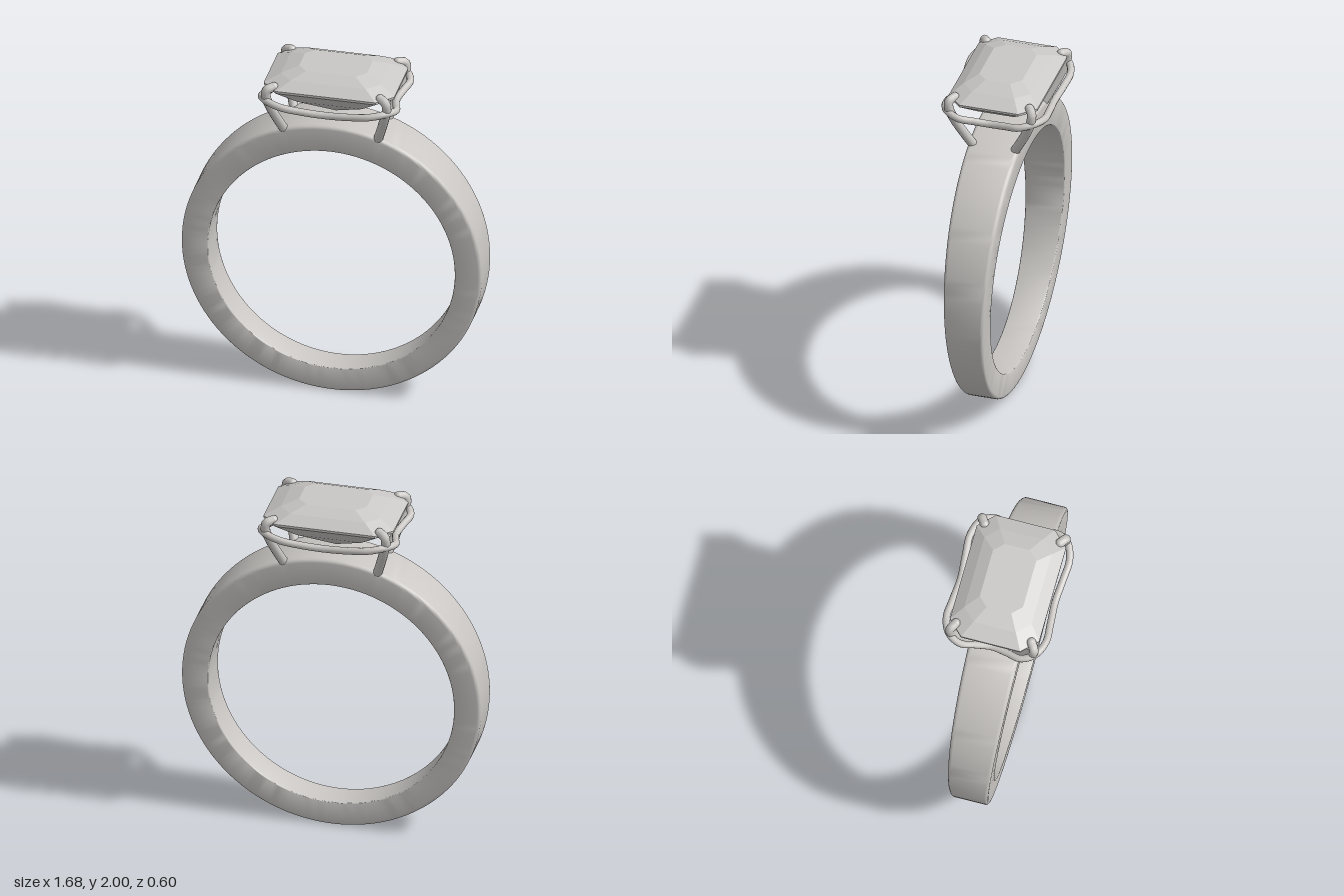
import * as THREE from 'three';
import { toCreasedNormals } from 'three/addons/utils/BufferGeometryUtils.js';

const metal = new THREE.MeshStandardMaterial({ name: 'metal', color: 0xc9c6c3 });
const stone = new THREE.MeshStandardMaterial({ name: 'stone', color: 0xc9c7c5 });

function add(parent, name, geometry, material) {
  const mesh = new THREE.Mesh(geometry, material);
  mesh.name = name;
  parent.add(mesh);
  return mesh;
}

// Ring band: a rounded profile turned in a circle, then widened towards the top
function bandGeometry() {
  const outer = 0.84, inner = 0.69;
  const profile = [];
  const corner = (r, h, dr, dh, start) => {
    for (let i = 0; i <= 4; i++) {
      const a = start + (i / 4) * Math.PI / 2;
      profile.push(new THREE.Vector2(r + dr * Math.cos(a), h + dh * Math.sin(a)));
    }
  };
  corner(inner + 0.008, -0.93, 0.008, 0.07, Math.PI);
  corner(outer - 0.02, -0.84, 0.02, 0.16, -Math.PI / 2);
  corner(outer - 0.02, 0.84, 0.02, 0.16, 0);
  corner(inner + 0.008, 0.93, 0.008, 0.07, Math.PI / 2);
  profile.push(profile[0].clone());

  const geo = new THREE.LatheGeometry(profile, 128);
  geo.rotateX(Math.PI / 2);
  const p = geo.attributes.position;
  for (let i = 0; i < p.count; i++) {
    const r = Math.hypot(p.getX(i), p.getY(i));
    // the finger hole sits slightly low, so the top is thicker
    const y = p.getY(i) + 0.84 - 0.01 * (outer - r) / (outer - inner);
    p.setY(i, y);
    p.setZ(i, p.getZ(i) * (0.08 + 0.04 * y));
  }
  return toCreasedNormals(geo, Math.PI / 5);
}

// Cut stone: stacked octagons [half length, half depth, corner cut, height]
function stoneGeometry() {
  const levels = [
    [0, 0, 0, 1.705],
    [0.235, 0.155, 0.055, 1.82],
    [0.365, 0.252, 0.085, 1.912],
    [0.365, 0.252, 0.085, 1.925],
    [0.28, 0.19, 0.07, 1.968],
    [0.19, 0.122, 0.052, 2.0],
    [0, 0, 0, 2.0],
  ];
  const rings = levels.map(([x, z, c, y]) => [
    [x, z - c], [x - c, z], [c - x, z], [-x, z - c],
    [-x, c - z], [c - x, -z], [x - c, -z], [x, c - z],
  ].map(([px, pz]) => [px, y, pz]));
  const pos = [];
  for (let k = 0; k < rings.length - 1; k++) {
    const a = rings[k], b = rings[k + 1];
    for (let i = 0; i < 8; i++) {
      const j = (i + 1) % 8;
      if (k < rings.length - 2) pos.push(...a[i], ...b[i], ...b[j]);
      if (k > 0) pos.push(...a[i], ...b[j], ...a[j]);
    }
  }
  const geo = new THREE.BufferGeometry();
  geo.setAttribute('position', new THREE.Float32BufferAttribute(pos, 3));
  geo.computeVertexNormals();
  return geo;
}

// Claw: bowed wire rising from the band and hooking over a stone corner
function addProng(parent, sx, sz) {
  const prong = new THREE.Group();
  prong.name = 'prong';
  const pts = [
    [0.262, 1.62, 0.118], [0.292, 1.71, 0.165], [0.322, 1.81, 0.212],
    [0.338, 1.88, 0.234], [0.332, 1.918, 0.235], [0.298, 1.93, 0.213],
  ].map(([x, y, z]) => new THREE.Vector3(x * sx, y, z * sz));
  const curve = new THREE.CatmullRomCurve3(pts);
  add(prong, 'prongWire', new THREE.TubeGeometry(curve, 32, 0.026, 12), metal);
  for (const [name, at] of [['prongFoot', pts[0]], ['prongTip', pts[5]]]) {
    add(prong, name, new THREE.SphereGeometry(0.026, 14, 10), metal).position.copy(at);
  }
  parent.add(prong);
}

// Gallery rail: closed wavy wire, dipping between the claws
function railGeometry() {
  const quarter = [
    [0.34, 1.818, 0], [0.357, 1.83, 0.09], [0.376, 1.845, 0.17],
    [0.34, 1.857, 0.242], [0.25, 1.845, 0.28], [0.13, 1.828, 0.275], [0, 1.818, 0.266],
  ];
  const mirror = (list, sx, sz) => list.map(([x, y, z]) => [x * sx, y, z * sz]);
  const back = [...quarter].reverse();
  const loop = [
    ...quarter.slice(0, -1),
    ...mirror(back, -1, 1).slice(0, -1),
    ...mirror(quarter, -1, -1).slice(0, -1),
    ...mirror(back, 1, -1).slice(0, -1),
  ].map((v) => new THREE.Vector3(...v));
  return new THREE.TubeGeometry(new THREE.CatmullRomCurve3(loop, true), 160, 0.02, 12, true);
}

export function createModel() {
  const ring = new THREE.Group();
  ring.name = 'ring';
  add(ring, 'band', bandGeometry(), metal);
  add(ring, 'stone', stoneGeometry(), stone);

  const setting = new THREE.Group();
  setting.name = 'setting';
  for (const sx of [-1, 1]) for (const sz of [-1, 1]) addProng(setting, sx, sz);
  add(setting, 'galleryRail', railGeometry(), metal);
  ring.add(setting);
  return ring;
}
